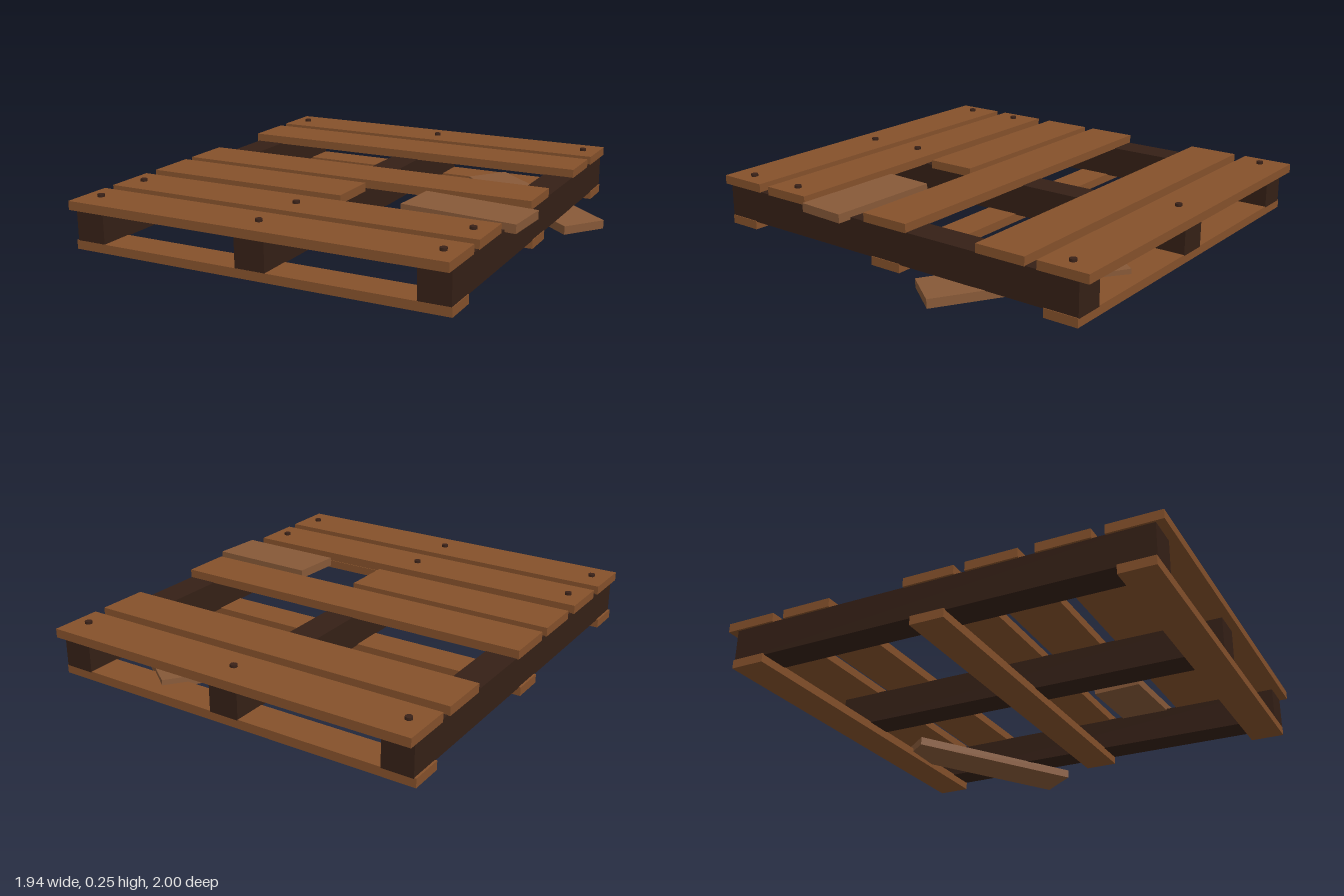
import * as THREE from 'three';

const paint = (color) => {
  const m = new THREE.MeshStandardMaterial();
  m.color.set(color);
  return m;
};

export function createModel() {
  const pallet = new THREE.Group();
  pallet.name = 'pallet';
  const wood = paint(0x85512b);
  const darkWood = paint(0x352016);
  const wornWood = paint(0x875938);
  const iron = paint(0x3a2218);

  const plank = (name, size, position, material) => {
    const mesh = new THREE.Mesh(new THREE.BoxGeometry(...size), material);
    mesh.name = name;
    mesh.position.set(...position);
    pallet.add(mesh);
    return mesh;
  };

  const midX = -0.093, length = 1.753;
  const stringerX = [-0.89, -0.09, 0.71];

  // Three long stringers running front to back
  stringerX.forEach((x) => plank('stringer', [0.14, 0.15, 1.914], [x, 0.125, 0.002], darkWood));

  // Full-length deck boards, leaving one gap
  [-0.883, -0.594, 0.001, 0.59, 0.879].forEach((z) =>
    plank('deckBoard', [length, 0.04, 0.234], [midX, 0.218, z], wood));

  // Snapped deck board: the part still attached and the part knocked askew
  plank('brokenBoard', [0.987, 0.04, 0.234], [-0.476, 0.218, 0.285], wood);
  const offcut = plank('brokenBoardEnd', [0.525, 0.04, 0.234], [0.575, 0.214, 0.302], wornWood);
  offcut.rotation.set(0, -0.06, -0.02);

  // Narrow bottom boards
  [-0.877, 0.003, 0.882].forEach((z) =>
    plank('bottomBoard', [length, 0.04, 0.155], [midX, 0.034, z], wood));

  // Loose plank lying slantwise underneath
  const loose = plank('loosePlank', [0.84, 0.04, 0.218], [0.565, 0.04, -0.548], wornWood);
  loose.rotation.set(0, -0.645, -0.042);

  // Nail heads over the stringers
  const nailGeometry = new THREE.CylinderGeometry(0.016, 0.016, 0.014, 8);
  for (const z of [-0.88, 0.59, 0.88]) {
    for (const x of stringerX) {
      const nail = new THREE.Mesh(nailGeometry, iron);
      nail.name = 'nail';
      nail.position.set(x, 0.243, z);
      pallet.add(nail);
    }
  }

  return pallet;
}
